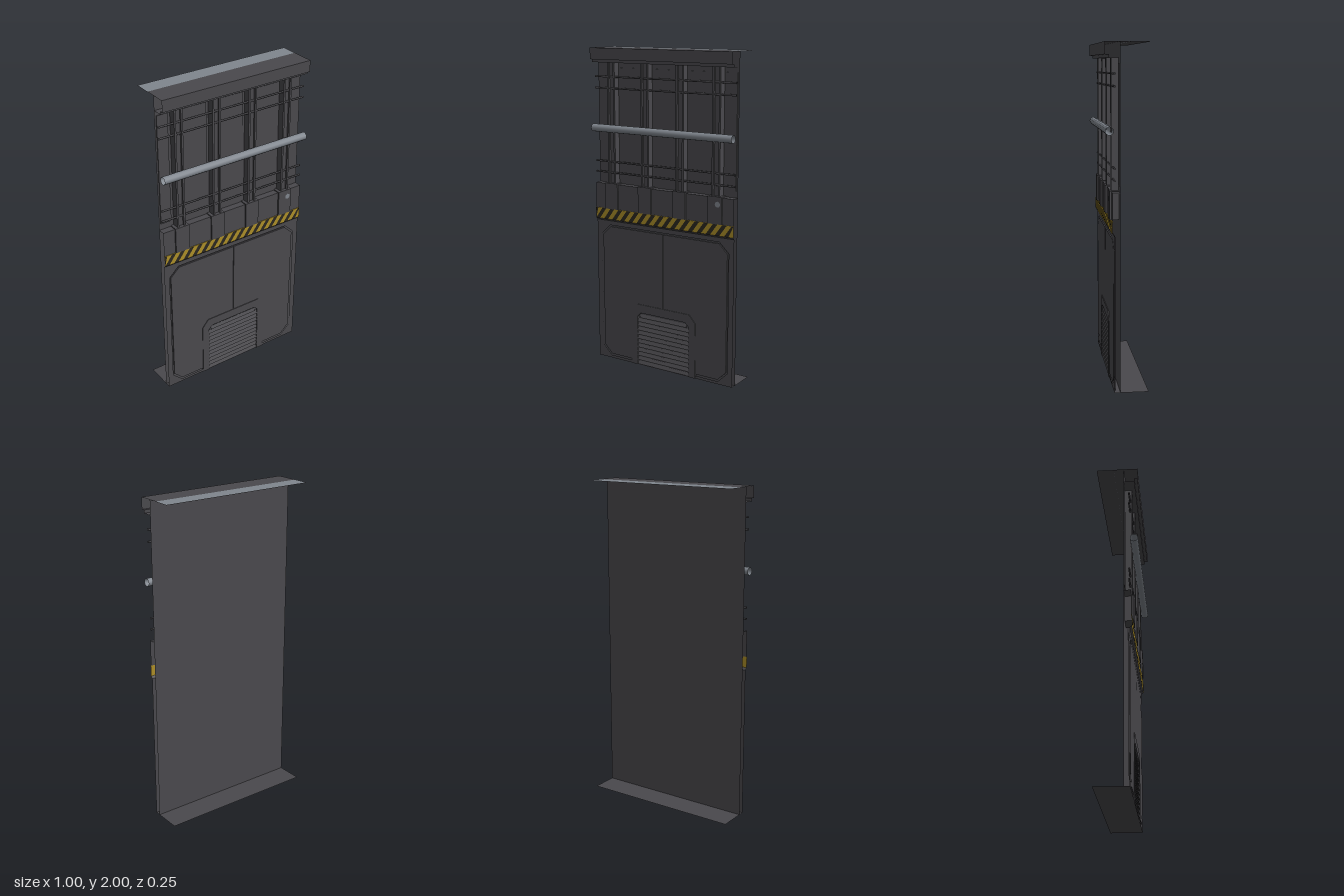
import * as THREE from 'three';

const mat = (name, color, double = true) => {
  const m = new THREE.MeshStandardMaterial({ color, side: double ? THREE.DoubleSide : THREE.FrontSide });
  m.name = name;
  return m;
};

export function createModel() {
  const wall = mat('dark wall metal', 0x4a494d);
  const steel = mat('light steel', 0x80868e);
  const yellow = mat('hazard yellow', 0xac8e28);
  const black = mat('hazard black', 0x2b2820);
  const model = new THREE.Group();
  model.name = 'wallPanel';

  const add = (name, geo, m, x = 0, y = 0, z = 0) => {
    const mesh = new THREE.Mesh(geo, m);
    mesh.name = name;
    mesh.position.set(x, y, z);
    model.add(mesh);
    return mesh;
  };
  const box = (name, m, w, h, d, x, y, z) => add(name, new THREE.BoxGeometry(w, h, d), m, x, y, z);

  // open-ended sheet: a (y, z) profile swept along the full width
  const sheet = (name, m, profile) => {
    const p = [];
    for (let i = 0; i + 1 < profile.length; i++) {
      const [y0, z0] = profile[i], [y1, z1] = profile[i + 1];
      p.push(-0.5, y0, z0, -0.5, y1, z1, 0.5, y1, z1, -0.5, y0, z0, 0.5, y1, z1, 0.5, y0, z0);
    }
    const g = new THREE.BufferGeometry();
    g.setAttribute('position', new THREE.Float32BufferAttribute(p, 3));
    g.computeVertexNormals();
    return add(name, g, m);
  };
  const shape = (pts) => new THREE.Shape(pts.map(([x, y]) => new THREE.Vector2(x, y)));
  const extrude = (pts, depth) => new THREE.ExtrudeGeometry(shape(pts), { depth, bevelEnabled: false });
  // closes a right-hand outline with its mirror image
  const mirrored = (pts) => [...pts, ...pts.map(([x, y]) => [-x, y]).reverse()];

  // backing wall, floor and ceiling plates
  sheet('backWall', wall, [[2, 0.04], [0, 0.04]]);
  sheet('floorPlate', wall, [[0, 0.075], [0, -0.125]]);
  sheet('ceilingPlate', wall, [[2, -0.02], [2, 0.125]]);
  sheet('ceilingRearTop', steel, [[2, -0.125], [2, -0.02]]);
  sheet('ceilingRearUnderside', wall, [[1.998, -0.02], [1.998, -0.125]]);

  // header with a stepped lower lip, and the middle ledge
  sheet('header', wall, [[2, 0.125], [1.93, 0.125], [1.93, 0.105], [1.912, 0.105], [1.912, 0.04]]);
  sheet('ledge', wall, [[1.16, 0.04], [1.16, 0.083], [1, 0.083]]);

  // hazard band with slanted stripes
  sheet('hazardBand', yellow, [[1, 0.083], [1, 0.087], [0.932, 0.087]]);
  sheet('hazardLip', wall, [[0.932, 0.087], [0.92, 0.075]]);
  const clampX = (x) => Math.max(-0.5, Math.min(0.5, x));
  const pitch = 1 / 16;
  for (let i = -1; i < 16; i++) {
    const x = -0.5 + i * pitch, w = pitch * 0.48, lean = 0.05;
    const pts = [[x, 0.932], [x + w, 0.932], [x + w + lean, 1], [x + lean, 1]];
    add('hazardStripe', new THREE.ShapeGeometry(shape(pts.map(([a, b]) => [clampX(a), b]))), black, 0, 0, 0.0885);
  }

  // upper bay: channel pillars on block bases
  for (const x of [-0.375, -0.125, 0.125, 0.375]) {
    box('pillarWeb', wall, 0.056, 0.75, 0.03, x, 1.537, 0.056);
    for (const s of [-1, 1]) box('pillarFlange', wall, 0.012, 0.75, 0.043, x + s * 0.022, 1.537, 0.0615);
    box('pillarBase', wall, 0.094, 0.165, 0.053, x, 1.0835, 0.0665);
  }
  for (const x of [-0.25, 0, 0.25]) box('bayPanel', wall, 0.16, 0.68, 0.006, x, 1.54, 0.043);
  for (const s of [-1, 1]) box('bayEndPanel', wall, 0.07, 0.68, 0.006, s * 0.455, 1.54, 0.043);
  add('baseLamp', new THREE.CircleGeometry(0.018, 8), steel, 0.395, 1.12, 0.0945);

  // thin rods running behind the pillar fronts, and the large pipe
  const tube = (name, m, r, sides, y, z) => {
    add(name, new THREE.CylinderGeometry(r, r, 1, sides, 1, true), m, 0, y, z).rotation.z = Math.PI / 2;
  };
  for (const y of [1.825, 1.755, 1.3, 1.232]) tube('thinRod', wall, 0.006, 6, y, 0.073);
  tube('pipe', steel, 0.024, 12, 1.51, 0.101);

  // lower wall: border, sunken groove and two raised panels split by a seam
  const border = mirrored([[0.235, 0], [0.235, 0.018], [0.4, 0.018], [0.465, 0.08],
    [0.465, 0.83], [0.4, 0.892]]);
  // outline goes up the inside edge, then back around the outside
  const inner = border.slice(0, 6), innerLeft = border.slice(6);
  add('lowerBorder', new THREE.ShapeGeometry(shape([...inner, ...innerLeft,
    [-0.5, 0], [-0.5, 0.92], [0.5, 0.92], [0.5, 0]])), wall, 0, 0, 0.075);
  add('grooveBack', new THREE.PlaneGeometry(0.96, 0.91), wall, 0, 0.455, 0.066);
  const half = [[0.002, 0.4], [0.19, 0.4], [0.232, 0.355], [0.232, 0.028], [0.397, 0.028],
    [0.455, 0.084], [0.455, 0.826], [0.397, 0.882], [0.002, 0.882]];
  for (const s of [-1, 1]) {
    add('lowerPanel', extrude(half.map(([x, y]) => [s * x, y]), 0.008), wall, 0, 0, 0.067);
  }

  // vent: chamfered surround and tilted slats
  const surround = mirrored([[0.19, 0], [0.19, 0.325], [0.165, 0.35]]);
  add('ventSurround', extrude([...surround, [-0.238, 0], [-0.238, 0.355], [-0.195, 0.405],
    [0.195, 0.405], [0.238, 0.355], [0.238, 0]], 0.013), wall, 0, 0, 0.066);
  const slats = 12;
  for (let i = 0; i < slats; i++) {
    const w = i === slats - 1 ? 0.345 : 0.38;
    box('ventSlat', wall, w, 0.023, 0.004, 0, 0.014 + i * 0.0285, 0.0715).rotation.x = -0.4;
  }
  return model;
}
